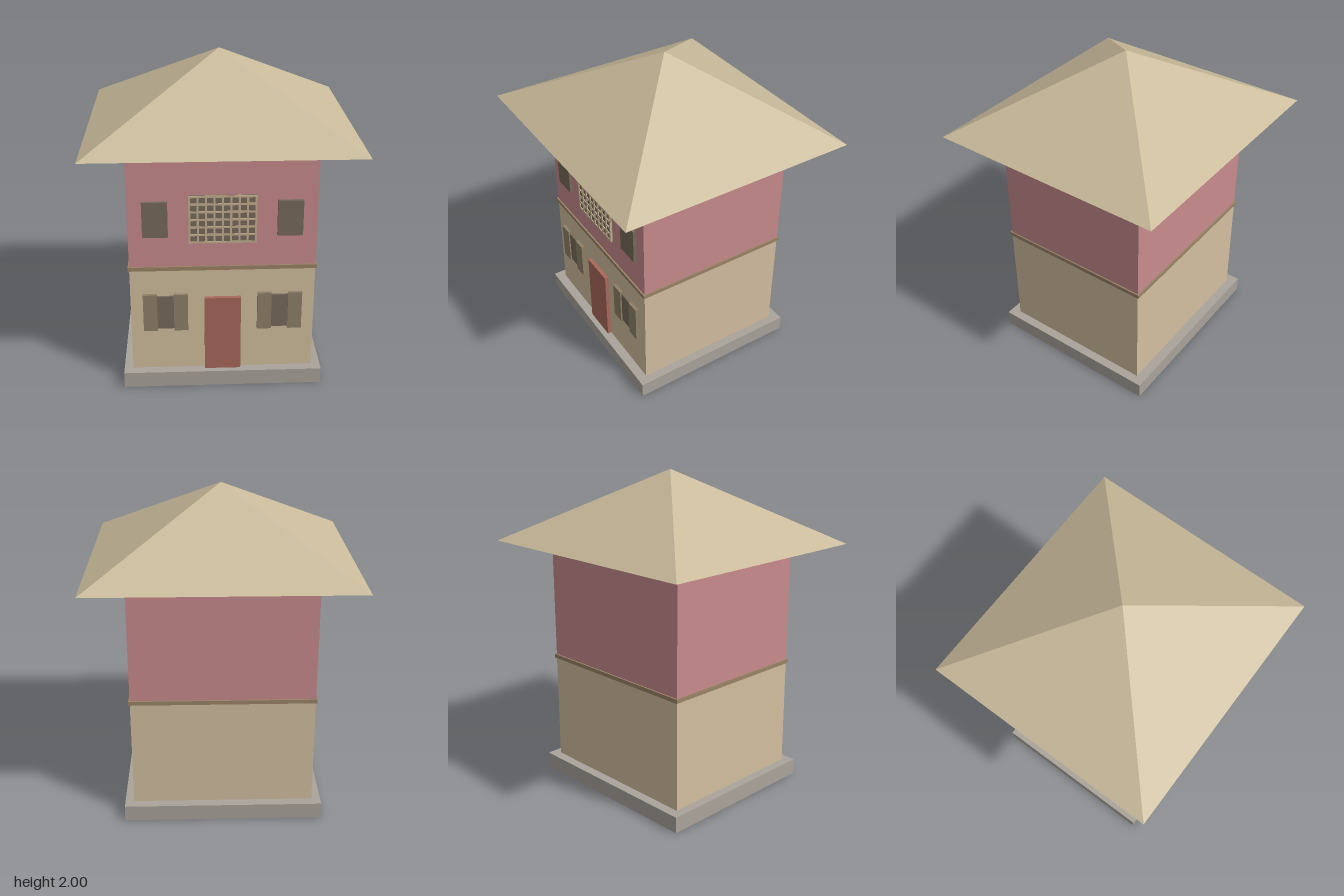
import * as THREE from 'three';

const material = (color) => new THREE.MeshStandardMaterial({ color, flatShading: true });
const mats = {
  stone: material(0xaaa39b),
  tan: material(0xd3bfa0),
  pink: material(0xc88b8d),
  trim: material(0x9b8468),
  roof: material(0xc9ba9a),
  door: material(0xa9695c),
  shutter: material(0x8f8168),
  pane: material(0x786b5c),
  lattice: material(0xc4b090),
};

// Box given by its lower and upper limits on each axis
function box(parent, name, mat, [x0, x1], [y0, y1], [z0, z1]) {
  const mesh = new THREE.Mesh(new THREE.BoxGeometry(x1 - x0, y1 - y0, z1 - z0), mat);
  mesh.position.set((x0 + x1) / 2, (y0 + y1) / 2, (z0 + z1) / 2);
  mesh.name = name;
  parent.add(mesh);
  return mesh;
}

// Box centred on x = 0 and z = 0
const slab = (parent, name, mat, hx, hz, y) => box(parent, name, mat, [-hx, hx], y, [-hz, hz]);

function group(parent, name) {
  const g = new THREE.Group();
  g.name = name;
  parent.add(g);
  return g;
}

export function createModel() {
  const house = new THREE.Group();
  house.name = 'house';
  const wallZ = 0.49;

  // Plinth, two storeys and their trim bands
  slab(house, 'plinth', mats.stone, 0.61, 0.55, [0, 0.1]);
  slab(house, 'lowerStorey', mats.tan, 0.555, wallZ, [0.1, 0.79]);
  slab(house, 'floorBand', mats.trim, 0.563, 0.5, [0.778, 0.803]);
  slab(house, 'upperStorey', mats.pink, 0.555, wallZ, [0.79, 1.49]);
  slab(house, 'cornice', mats.trim, 0.578, 0.515, [1.483, 1.515]);

  // Pyramid roof, floating just above the cornice
  const roofGeo = new THREE.ConeGeometry(Math.SQRT2, 0.45, 4);
  roofGeo.rotateY(Math.PI / 4);
  roofGeo.scale(0.795, 1, 0.735);
  const roof = new THREE.Mesh(roofGeo, mats.roof);
  roof.position.y = 1.775;
  roof.name = 'roof';
  house.add(roof);

  // Front door
  box(house, 'door', mats.door, [-0.11, 0.11], [0.1, 0.595], [wallZ - 0.01, 0.515]);

  for (const side of [-1, 1]) {
    const label = side > 0 ? 'left' : 'right';

    // Shuttered ground floor window
    const lower = group(house, `${label}LowerWindow`);
    lower.position.x = side * 0.345;
    box(lower, 'pane', mats.pane, [-0.06, 0.06], [0.385, 0.605], [wallZ - 0.01, 0.502]);
    for (const s of [-1, 1]) {
      const leaf = box(lower, 'shutter', mats.shutter, [-0.0425, 0.0425], [0.375, 0.62], [wallZ - 0.01, 0.511]);
      leaf.position.x = s * 0.0925;
    }

    // Small upper window
    const upper = group(house, `${label}UpperWindow`);
    upper.position.x = side * 0.395;
    box(upper, 'pane', mats.pane, [-0.075, 0.075], [1.0, 1.222], [wallZ - 0.01, 0.508]);
  }

  // Central latticed window
  const lattice = group(house, 'latticeWindow');
  const columns = 8, rows = 6, bar = 0.006;
  const w = 0.2, bottom = 0.958, top = 1.258;
  box(lattice, 'pane', mats.pane, [-w, w], [bottom, top], [wallZ - 0.01, 0.502]);
  for (let i = 0; i <= columns; i++) {
    const x = -w + bar + (2 * (w - bar) * i) / columns;
    box(lattice, 'verticalBar', mats.lattice, [x - bar, x + bar], [bottom, top], [0.495, 0.508]);
  }
  for (let j = 0; j <= rows; j++) {
    const y = bottom + bar + ((top - bottom - 2 * bar) * j) / rows;
    box(lattice, 'horizontalBar', mats.lattice, [-w, w], [y - bar, y + bar], [0.495, 0.5075]);
  }

  return house;
}
